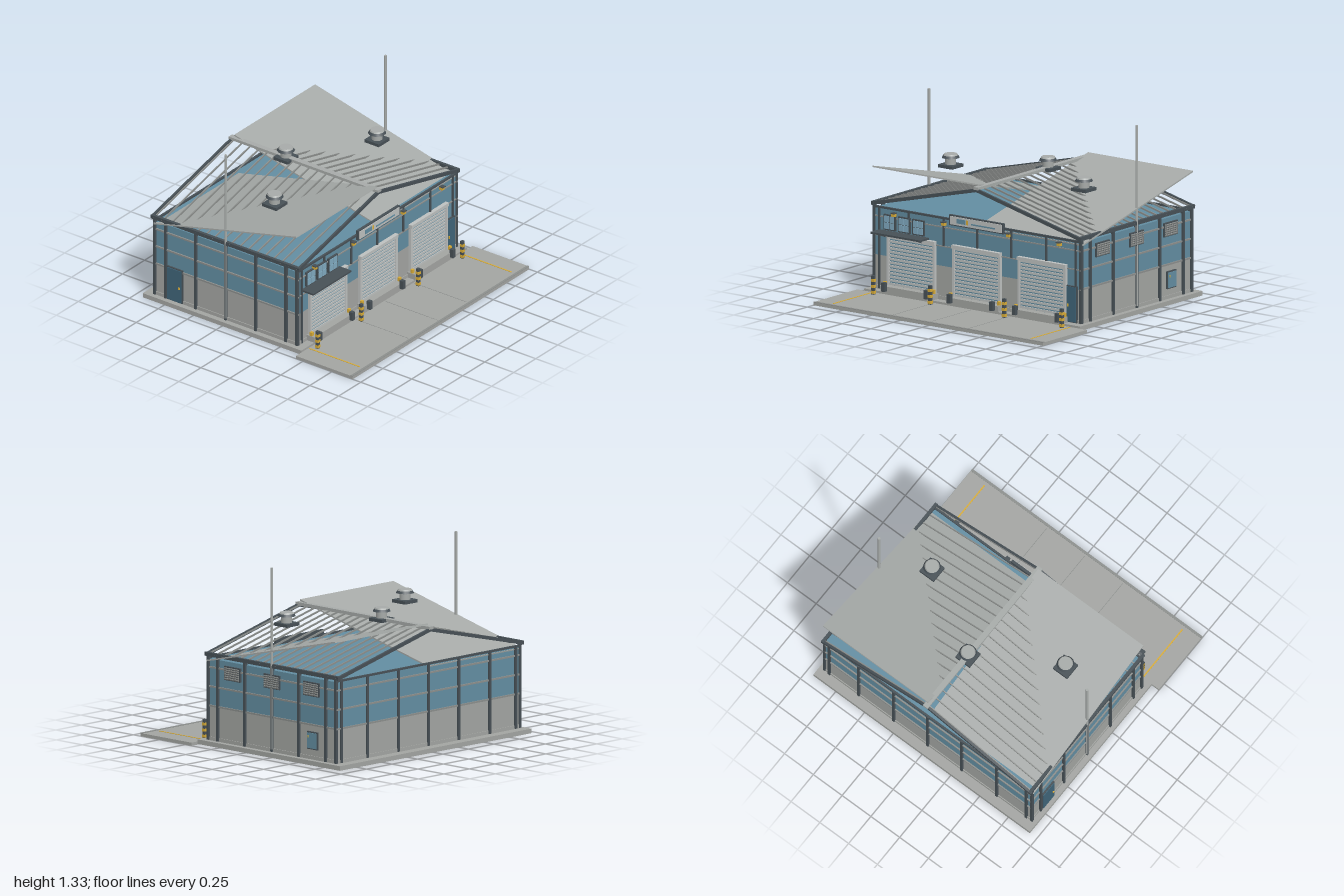
import * as THREE from 'three';

const mat = (name, color) => {
  const m = new THREE.MeshStandardMaterial({ color });
  m.name = name;
  return m;
};

export function createModel() {
  const root = new THREE.Group();
  root.name = 'warehouse';
  const blue = mat('wall blue', 0x628da1);
  const navy = mat('door blue', 0x3f6478);
  const glass = mat('glass blue', 0x7fa9bf);
  const concrete = mat('concrete grey', 0xa2a4a1);
  const roof = mat('roof grey', 0xa6aaa8);
  const girtGrey = mat('girt grey', 0x8b8e8c);
  const light = mat('light grey', 0xbdc0bf);
  const dark = mat('dark steel', 0x475056);
  const yellow = mat('safety yellow', 0xd6ab38);

  const add = (name, geo, m, x, y, z, parent = root) => {
    const mesh = new THREE.Mesh(geo, m);
    mesh.name = name;
    mesh.position.set(x, y, z);
    parent.add(mesh);
    return mesh;
  };
  // Box given by its low and high corner on each axis
  const box = (name, m, x0, x1, y0, y1, z0, z1, parent = root) =>
    add(name, new THREE.BoxGeometry(x1 - x0, y1 - y0, z1 - z0), m,
      (x0 + x1) / 2, (y0 + y1) / 2, (z0 + z1) / 2, parent);
  const cyl = (name, m, r0, r1, y0, y1, x, z, parent = root, n = 16) =>
    add(name, new THREE.CylinderGeometry(r1, r0, y1 - y0, n), m, x, (y0 + y1) / 2, z, parent);
  const group = (name) => {
    const g = new THREE.Group();
    g.name = name;
    root.add(g);
    return g;
  };

  const W = 0.895, F = 0.375, B = -0.855, MID = -0.24; // wall faces

  // Ground slabs, joints and lane lines
  box('buildingSlab', concrete, -0.94, 0.94, 0.005, 0.037, -0.93, 0.44);
  box('yardPad', concrete, -1, 1, 0, 0.022, 0.44, 0.93);
  box('padEdge', girtGrey, -1, 1, 0.022, 0.025, 0.912, 0.93);
  for (const x of [-0.33, 0, 0.33]) box('padJoint', girtGrey, x - 0.002, x + 0.002, 0.021, 0.023, 0.45, 0.9);
  for (const s of [-1, 1]) box('laneLine', yellow, s * 0.86 - 0.005, s * 0.86 + 0.005, 0.021, 0.025, 0.45, 0.885);

  // Wall body: concrete base below blue cladding
  box('lowerWall', concrete, -W, W, 0.037, 0.275, B, F);
  box('upperWall', blue, -W, W, 0.275, 0.608, B, F);
  box('plinth', concrete, -W - 0.006, W + 0.006, 0.037, 0.062, B - 0.006, F + 0.006);
  for (const y of [0.28, 0.415, 0.55]) {
    for (const s of [-1, 1]) box('sideGirt', girtGrey, s * 0.899 - 0.006, s * 0.899 + 0.006, y - 0.006, y + 0.006, B - 0.01, F + 0.01);
    box('backGirt', girtGrey, -W, W, y - 0.006, y + 0.006, B - 0.01, B);
    if (y > 0.3) box('frontGirt', girtGrey, -W, W, y - 0.004, y + 0.004, F, F + 0.008);
  }

  // Columns
  for (const s of [-1, 1]) {
    for (const z of [0.28, 0.02, -0.24, -0.5, -0.76])
      box('sideColumn', dark, s * 0.9 - 0.012, s * 0.9 + 0.012, 0.04, 0.64, z - 0.009, z + 0.009);
    for (const z of [B, F])
      box('cornerColumn', dark, s * 0.9 - 0.01, s * 0.9 + 0.01, 0.04, 0.64, z - 0.01, z + 0.01);
  }
  for (const x of [-0.855, -0.6, -0.295, 0, 0.295, 0.6, 0.855]) {
    box('backColumn', dark, x - 0.009, x + 0.009, 0.04, 0.62, B - 0.014, B);
    box('frontColumn', dark, x - 0.007, x + 0.007, Math.abs(x) > 0.8 ? 0.04 : 0.42, 0.62, F, F + 0.01);
  }
  box('frontEaveTrim', dark, -W, W, 0.608, 0.622, F - 0.005, F + 0.01);
  box('backEaveTrim', dark, -W, W, 0.608, 0.622, B - 0.01, B + 0.005);

  // Roof: sloping ribs, gable trims, tilted sheets, gutters and tall pipes
  const slope = (name, m, s, z, w, h) => {
    const dx = 0.91, dy = 0.22;
    const b = add(name, new THREE.BoxGeometry(Math.hypot(dx, dy), h, w), m, s * dx / 2, 0.745, z);
    b.rotation.z = -s * Math.atan2(dy, dx);
  };
  for (const s of [-1, 1]) {
    const sheet = add('roofSheet', new THREE.BoxGeometry(0.915, 0.01, 1.27), roof, s * 0.4575, 0.742, MID);
    sheet.rotation.x = s * 0.236;
    for (let i = 0; i <= 17; i++) slope('roofRib', girtGrey, s, MID - 0.62 + i * 1.24 / 17, 0.007, 0.012);
    slope('gableTrim', dark, s, 0.388, 0.016, 0.024);
    slope('gableTrim', dark, s, -0.876, 0.016, 0.024);
    box('gutter', dark, s * 0.9 - 0.011, s * 0.9 + 0.011, 0.625, 0.652, -0.885, 0.4);
    cyl('tallPipe', roof, 0.01, 0.01, 0.055, 1.328, s * 0.904, MID, root, 12);
  }
  box('ridgeCap', roof, -0.02, 0.02, 0.858, 0.878, -0.89, 0.4);

  // Roof ventilators
  for (const [x, z] of [[-0.58, -0.065], [0, -0.41], [0.58, -0.065]]) {
    const g = group('roofVentilator');
    box('base', dark, x - 0.062, x + 0.062, 0.853, 0.875, z - 0.062, z + 0.062, g);
    cyl('neck', roof, 0.038, 0.038, 0.875, 0.925, x, z, g);
    cyl('hood', dark, 0.062, 0.052, 0.921, 0.938, x, z, g);
    cyl('hoodTop', roof, 0.052, 0.046, 0.938, 0.948, x, z, g);
  }

  // Loading bays with shutters, ledges and bumpers
  for (const x of [-0.57, 0, 0.57]) {
    const g = group('loadingBay');
    box('shutterBack', blue, x - 0.2, x + 0.2, 0.07, 0.43, F, F + 0.01, g);
    for (let i = 0; i < 14; i++) {
      const y = 0.08 + i * 0.025;
      box('shutterSlat', light, x - 0.19, x + 0.19, y, y + 0.016, F + 0.009, F + 0.016, g);
    }
    for (const s of [-1, 1]) {
      box('shutterJamb', light, x + s * 0.2 - 0.01, x + s * 0.2 + 0.01, 0.07, 0.43, F, F + 0.022, g);
      box('bumper', dark, x + s * 0.185 - 0.014, x + s * 0.185 + 0.014, 0.045, 0.108, 0.44, 0.47, g);
      box('edgeGuide', yellow, x + s * 0.212 - 0.01, x + s * 0.212 + 0.01, 0.078, 0.105, 0.4, 0.42, g);
    }
    box('shutterHousing', light, x - 0.21, x + 0.21, 0.418, 0.442, F, F + 0.03, g);
    box('dockLedge', concrete, x - 0.225, x + 0.225, 0.03, 0.078, F, 0.442, g);
  }

  // Striped bollards
  for (const x of [-0.82, -0.325, 0.32, 0.82]) {
    const g = group('bollard');
    box('post', dark, x - 0.011, x + 0.011, 0.02, 0.155, 0.479, 0.501, g);
    for (const y of [0.028, 0.07, 0.112])
      box('band', yellow, x - 0.013, x + 0.013, y, y + 0.02, 0.477, 0.503, g);
  }

  // Front office windows and canopy
  for (const x of [-0.76, -0.635, -0.51]) {
    const g = group('frontWindow');
    box('frame', dark, x - 0.051, x + 0.051, 0.462, 0.572, F, F + 0.014, g);
    for (const sx of [-1, 1]) for (const y of [0.493, 0.541])
      box('pane', glass, x + sx * 0.022 - 0.02, x + sx * 0.022 + 0.02, y - 0.022, y + 0.022, F + 0.01, F + 0.018, g);
  }
  box('canopy', dark, -0.855, -0.425, 0.443, 0.456, F, 0.48);
  for (const x of [-0.8, -0.47]) {
    const brace = add('canopyBrace', new THREE.BoxGeometry(0.008, 0.008, 0.095), dark, x, 0.427, F + 0.045);
    brace.rotation.x = -0.35;
  }

  // Sign board with plain stripes, and wall lamps
  box('signFrame', dark, -0.235, 0.235, 0.578, 0.652, F, 0.395);
  box('signPanel', light, -0.225, 0.225, 0.586, 0.644, 0.393, 0.4);
  box('signStripe', blue, -0.165, -0.09, 0.6, 0.632, 0.398, 0.403);
  box('signStripe', yellow, -0.082, -0.066, 0.6, 0.632, 0.398, 0.403);
  box('signStripe', blue, -0.04, 0.17, 0.604, 0.614, 0.398, 0.403);
  for (const x of [-0.72, -0.285, 0.28, 0.72]) {
    box('lampHood', dark, x - 0.016, x + 0.016, 0.587, 0.594, F, F + 0.035);
    box('lamp', yellow, x - 0.013, x + 0.013, 0.566, 0.587, F, F + 0.028);
  }

  // Personnel doors
  box('frontDoorFrame', dark, 0.776, 0.87, 0.04, 0.298, F, F + 0.012);
  box('frontDoor', navy, 0.783, 0.863, 0.045, 0.291, F + 0.01, F + 0.017);
  box('frontDoorHandle', yellow, 0.793, 0.801, 0.15, 0.17, F + 0.015, F + 0.024);
  box('sideDoorFrame', dark, -W - 0.012, -W, 0.04, 0.298, -0.748, -0.612);
  box('sideDoor', navy, -W - 0.018, -W - 0.01, 0.045, 0.291, -0.74, -0.62);
  box('sideDoorHandle', yellow, -W - 0.026, -W - 0.016, 0.15, 0.165, -0.64, -0.63);

  // Service hatch and louvres on the right-hand wall
  box('hatchFrame', dark, W, W + 0.012, 0.108, 0.232, -0.682, -0.58);
  box('hatch', blue, W + 0.01, W + 0.017, 0.116, 0.224, -0.674, -0.588);
  box('hatchHandle', yellow, W + 0.015, W + 0.022, 0.19, 0.205, -0.602, -0.596);
  for (const z of [0.14, MID, -0.62]) {
    const g = group('louvre');
    box('frame', dark, W, W + 0.014, 0.48, 0.578, z - 0.077, z + 0.077, g);
    for (let i = 0; i < 6; i++) {
      const blade = box('blade', girtGrey, W + 0.01, W + 0.02, 0.487 + i * 0.0145, 0.496 + i * 0.0145, z - 0.07, z + 0.07, g);
      blade.rotation.z = -0.3;
    }
  }
  return root;
}
